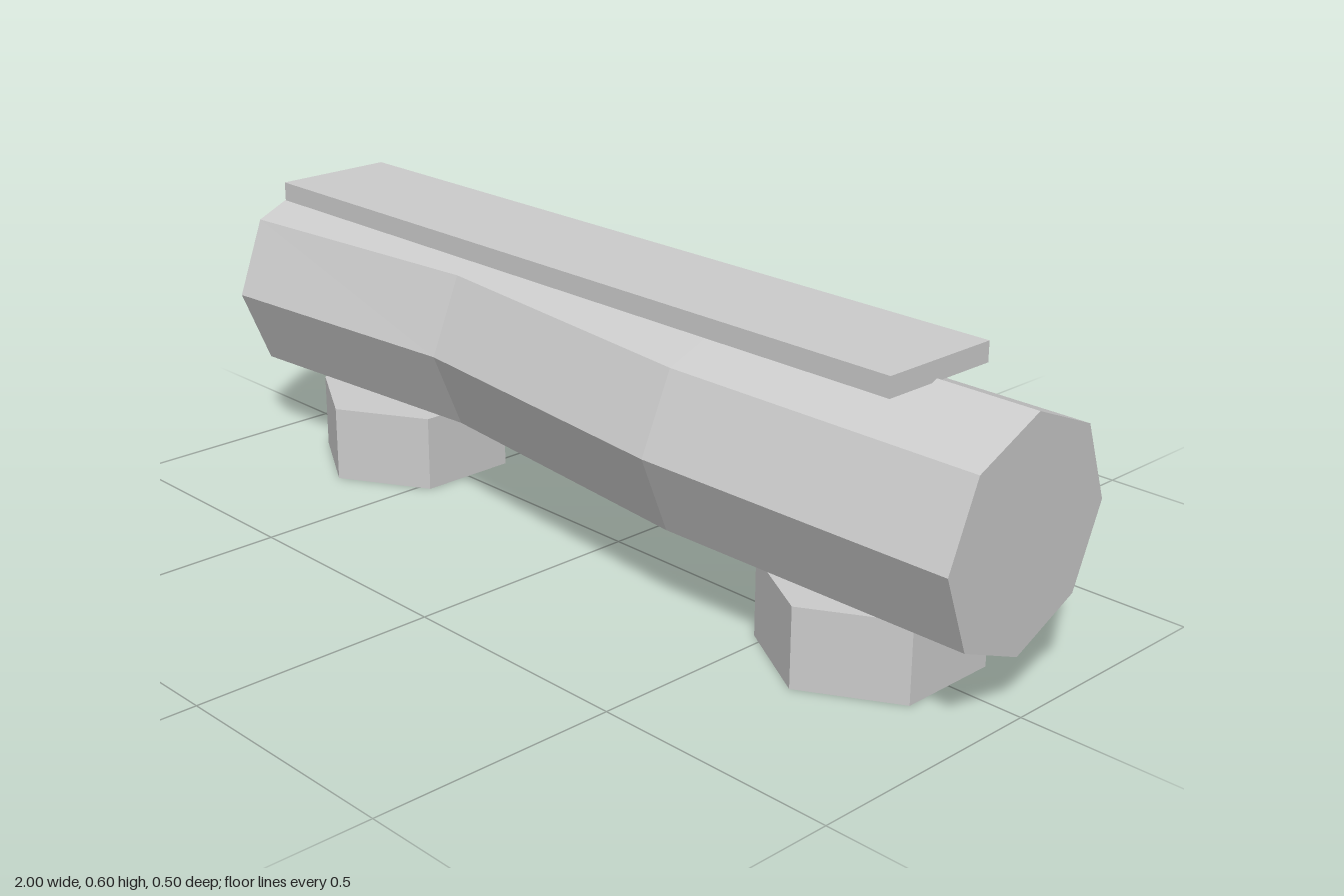
import * as THREE from 'three';

const grey = new THREE.MeshStandardMaterial({ color: 0xcccccc, flatShading: true });
grey.name = 'light grey';

// Rings of the log: centre [x, y, z] and slope of the axis in y and z
const RINGS = [
  { at: [-0.988, 0.346, 0], dy: 0.033, dz: -0.05 },
  { at: [-0.33, 0.358, -0.027], dy: 0, dz: 0.015 },
  { at: [0.33, 0.346, 0.027], dy: -0.018, dz: 0.015 },
  { at: [0.988, 0.333, 0], dy: -0.025, dz: -0.045 },
];

function addMesh(group, name, geometry, x = 0, y = 0, z = 0) {
  const mesh = new THREE.Mesh(geometry, grey);
  mesh.name = name;
  mesh.position.set(x, y, z);
  group.add(mesh);
}

// Eight-sided bar whose rings follow the slightly bent axis, each square to it
function bentLog() {
  const geometry = new THREE.CylinderGeometry(0.2245, 0.2245, 3, 8, 3).rotateZ(Math.PI / 2);
  const p = geometry.attributes.position;
  for (let i = 0; i < p.count; i++) {
    const { at, dy, dz } = RINGS[Math.round(p.getX(i) + 1.5)];
    const y = p.getY(i), z = p.getZ(i);
    p.setXYZ(i, at[0] - dy * y - dz * z, at[1] + y, at[2] + z);
  }
  geometry.computeVertexNormals();
  return geometry;
}

export function createModel() {
  const model = new THREE.Group();
  model.name = 'logBench';

  addMesh(model, 'log', bentLog());

  // Flat plank resting on the log, set a little to one side
  addMesh(model, 'seatPlank', new THREE.BoxGeometry(1.71, 0.04, 0.263), -0.067, 0.576, 0);

  // Six-sided stump feet
  for (const side of [-1, 1]) {
    addMesh(model, side < 0 ? 'rightFoot' : 'leftFoot',
      new THREE.CylinderGeometry(0.212, 0.212, 0.16, 6), side * 0.66, 0.08, 0);
  }
  return model;
}
